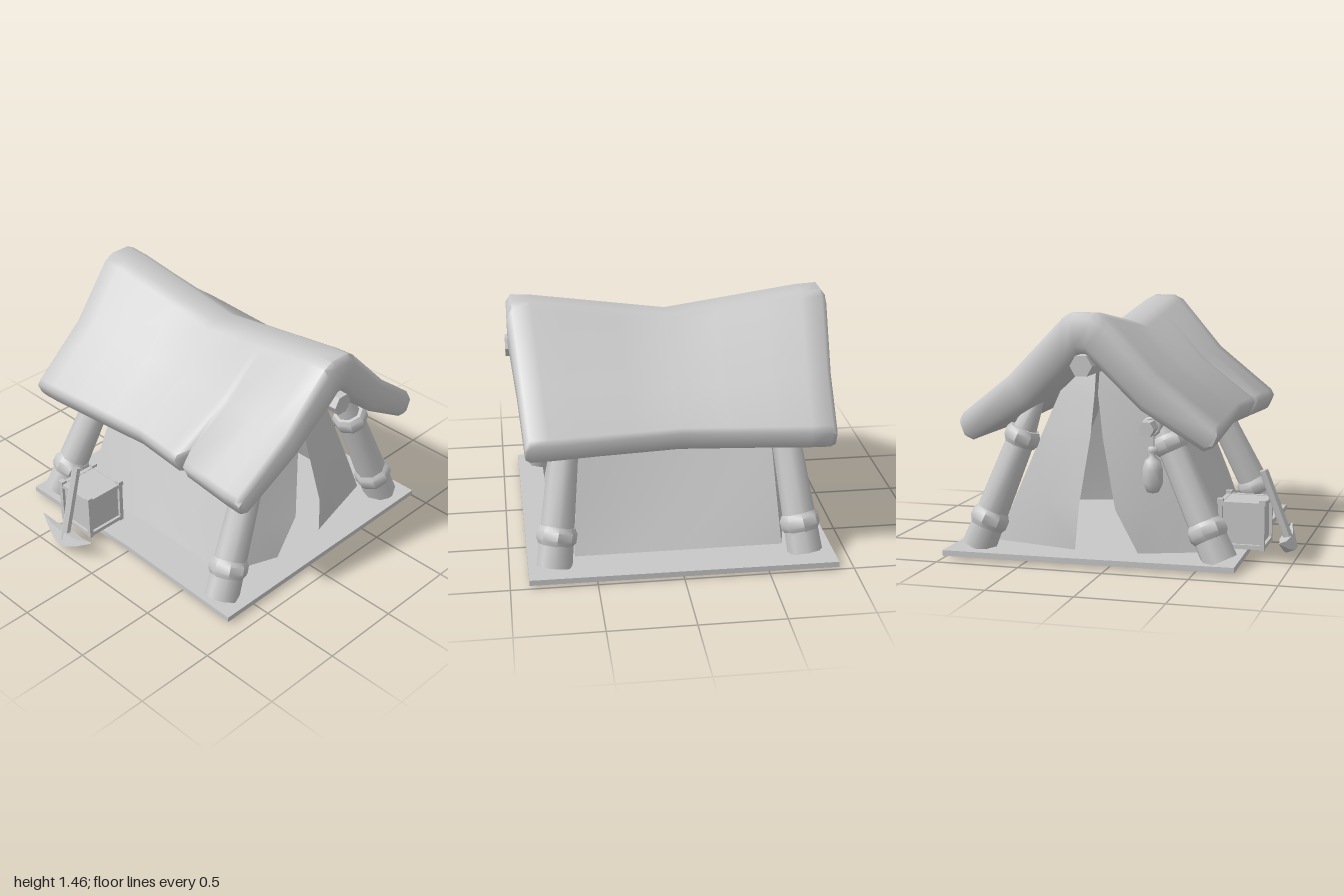
import * as THREE from 'three';
import { toCreasedNormals, mergeGeometries } from 'three/addons/utils/BufferGeometryUtils.js';

const V = (p) => new THREE.Vector3(...p);

// Skin over rows of points; closed rows become solid tubes with strip caps.
function loft(rows, closed = false, crease = 0.9) {
  const n = rows[0].length, m = rows.length, idx = [];
  const quad = (a, b, c, d) => idx.push(a, b, c, a, c, d);
  for (let i = 0; i < m - 1; i++) {
    for (let j = 0; j < (closed ? n : n - 1); j++) {
      const k = (j + 1) % n;
      quad(i * n + j, (i + 1) * n + j, (i + 1) * n + k, i * n + k);
    }
  }
  if (closed) {
    const e = (m - 1) * n;
    for (let j = 0; j < n / 2 - 1; j++) {
      quad(j, j + 1, n - 2 - j, n - 1 - j);
      quad(e + n - 1 - j, e + n - 2 - j, e + j + 1, e + j);
    }
  }
  const g = new THREE.BufferGeometry();
  g.setAttribute('position', new THREE.Float32BufferAttribute(rows.flat(2), 3));
  g.setIndex(idx);
  return toCreasedNormals(g, crease);
}

// Stand a y-up geometry at the middle of a-b, pointing from a to b.
function along(geo, a, b) {
  const d = V(b).sub(V(a)).normalize();
  geo.applyQuaternion(new THREE.Quaternion().setFromUnitVectors(V([0, 1, 0]), d));
  const mid = V(a).add(V(b)).multiplyScalar(0.5);
  return geo.translate(mid.x, mid.y, mid.z);
}
const limb = (a, b, ra, rb, sides = 8) =>
  along(toCreasedNormals(new THREE.CylinderGeometry(rb, ra, V(a).distanceTo(V(b)), sides), 0.9), a, b);

export function createModel() {
  const model = new THREE.Group();
  const grey = new THREE.MeshStandardMaterial({ color: 0xc8c8c8 });
  grey.name = 'plain grey';
  const cloth = grey;
  cloth.side = THREE.DoubleSide;
  const add = (name, geo, parent = model) => {
    const mesh = new THREE.Mesh(geo, grey);
    mesh.name = name;
    parent.add(mesh);
    return mesh;
  };
  const group = (name) => {
    const g = new THREE.Group();
    g.name = name;
    model.add(g);
    return g;
  };

  // Ground sheet
  const sheet = new THREE.Shape([[-0.87, -0.73], [0, -0.71], [0.9, -0.73], [0.89, 0.99], [-0.91, 1], [-0.9, 0.3]]
    .map(([x, y]) => new THREE.Vector2(x, y)));
  add('groundSheet', new THREE.ExtrudeGeometry(sheet, { depth: 0.033, bevelEnabled: false }).rotateX(-Math.PI / 2));

  // Thick sagging roof: chevron section of [z, y], front to back
  const outer = [[0.64, 0.79], [0.62, 0.825], [0.27, 1.1], [0, 1.41], [-0.06, 1.44],
    [-0.19, 1.44], [-0.24, 1.41], [-0.58, 1.07], [-0.87, 0.845], [-0.89, 0.81]];
  const inner = [[0.6, 0.7], [0.55, 0.68], [0.2, 0.9], [-0.04, 1.14], [-0.11, 1.21],
    [-0.16, 1.21], [-0.23, 1.13], [-0.47, 0.9], [-0.81, 0.69], [-0.85, 0.705]];
  const stations = [[-0.955, 0.35], [-0.925, 0], [-0.8, 0], [-0.6, 0], [-0.3, 0], [0, 0], [0.3, 0],
    [0.36, 0], [0.4, 0, 1], [0.44, 0], [0.65, 0], [0.8, 0], [0.915, 0], [0.945, 0.35]];
  const roof = stations.map(([x, pinch, notch]) => {
    const sag = Math.max(0, 1 - Math.abs(x) / 0.85);
    const place = (p, q, j) => {
      const z = p[0] + (q[0] - p[0]) * pinch / 2, y = p[1] + (q[1] - p[1]) * pinch / 2;
      const w = THREE.MathUtils.clamp((outer[j][1] - 0.8) / 0.62, 0, 1);
      const cut = notch && j < 2 ? 1 : 0;
      return [x * (1 - 0.07 * (1 - w)), y - 0.12 * sag * w + 0.02 * sag * (1 - w) + 0.025 * cut,
        z - Math.sign(z + 0.13) * 0.055 * sag * (1 - w) - 0.08 * cut];
    };
    return [...outer.map((p, j) => place(p, inner[j], j)),
      ...inner.map((p, j) => place(p, outer[j], j)).reverse()];
  });
  add('roof', loft(roof, true, 1.0));

  // Ridge pole and front crossbar
  add('ridgePole', limb([-0.965, 1.145, -0.125], [0.96, 1.145, -0.125], 0.066, 0.066, 6));
  add('crossbar', limb([-0.93, 0.8, 0.24], [0.8, 0.8, 0.24], 0.045, 0.045, 6));

  // Splayed legs with two lashed bands each
  const bandProfile = [[0.06, -0.055], [0.1, -0.055], [0.118, -0.025], [0.118, 0.025], [0.1, 0.055], [0.06, 0.055]]
    .map(([x, y]) => new THREE.Vector2(x, y));
  for (const side of [-1, 1]) {
    for (const [where, z0, z1] of [['front', 0.625, 0.3], ['back', -0.84, -0.585]]) {
      const leg = group(where + (side > 0 ? 'LeftLeg' : 'RightLeg'));
      const at = (t) => [side * (0.74 - 0.09 * t), 0.03 + 0.67 * t, z0 + (z1 - z0) * t];
      add('post', limb(at(0), at(1), 0.105, 0.085), leg);
      add('postTip', limb(at(1), at(1.32), 0.078, 0.045), leg);
      for (const [t, s, tilt] of [[0.25, 1, 0.07], [0.98, 0.93, -0.05]]) {
        const g = toCreasedNormals(new THREE.LatheGeometry(bandProfile, 8), 0.7);
        g.scale(s, s, s).rotateZ(side * tilt);
        add('band', along(g, at(t - 0.05), at(t + 0.05)), leg);
      }
    }
  }

  // Tent: two bulging walls and a pair of parted flaps at each end
  const ys = [1.17, 0.95, 0.7, 0.3, 0.045];
  const halfWidth = [0.56, 0.57, 0.58, 0.6, 0.615];
  const flapX = [0.58, 0.63, 0.67, 0.76, 0.74];
  const walls = {
    front: { edge: [-0.13, 0.12, 0.23, 0.39, 0.48], slit: [-0.13, -0.13, -0.09, 0.01, 0.14] },
    back: { edge: [-0.15, -0.38, -0.49, -0.66, -0.76], slit: [-0.15, -0.15, -0.165, -0.21, -0.24] },
  };
  for (const [name, { edge, slit }] of Object.entries(walls)) {
    const dir = name === 'front' ? 1 : -1;
    add(name + 'TentWall', loft(ys.map((y, i) => [-1, -0.5, 0, 0.5, 1].map((u) =>
      [u * halfWidth[i], y, edge[i] - dir * 0.04 * (1 - u * u) * Math.sin(i * Math.PI / 4)])), false, 1.2));
    for (const side of [-1, 1]) {
      add(name + 'Flap', loft(ys.map((y, i) => [0, 0.5, 1].map((u) =>
        [side * (halfWidth[i] + (flapX[i] - halfWidth[i]) * u), y, edge[i] + (slit[i] - edge[i]) * u])), false, 1.2));
    }
  }

  // Crate with a frame of thin bars and corner knobs
  const crate = group('crate');
  const bar = (w, h, d, x, y, z) => new THREE.BoxGeometry(w, h, d).translate(x, y, z);
  const [cx, cy, cz, h] = [-0.345, 0.185, 0.69, 0.125];
  add('crateBody', bar(0.24, 0.27, 0.24, cx, cy, cz), crate);
  const bars = [];
  for (const a of [-1, 1]) {
    for (const b of [-1, 1]) {
      bars.push(bar(0.026, 0.29, 0.026, cx + a * h, cy, cz + b * h),
        bar(0.25, 0.026, 0.026, cx, cy + a * h, cz + b * h),
        bar(0.026, 0.026, 0.25, cx + a * h, cy + b * h, cz),
        bar(0.036, 0.03, 0.036, cx + a * h, cy + 0.14, cz + b * h));
    }
  }
  add('crateFrame', mergeGeometries(bars), crate);

  // Pickaxe leaning on the crate
  const pick = group('pickaxe');
  add('handle', limb([-0.305, 0.05, 0.955], [-0.345, 0.495, 0.795], 0.03, 0.027, 6), pick);
  const head = [[-0.54, 0.105, 0.925, 0.06], [-0.43, 0.07, 0.94, 0.6], [-0.35, 0.06, 0.945, 1],
    [-0.27, 0.06, 0.945, 1], [-0.19, 0.08, 0.94, 0.6], [-0.08, 0.13, 0.925, 0.06]];
  add('pickHead', loft(head.map(([x, y, z, s]) =>
    [[0.045, -0.03], [0.015, 0.045], [-0.05, 0.03], [-0.01, -0.05]]
      .map(([dz, dy]) => [x, y + dy * s, z + dz * s])), true, 0.6), pick);

  // Pouch hanging from the crossbar
  const pouch = group('hangingPouch');
  const profile = [[0, 0.42], [0.035, 0.43], [0.058, 0.48], [0.06, 0.56], [0.045, 0.61], [0.016, 0.635],
    [0.032, 0.66], [0.026, 0.685], [0, 0.69]].map(([x, y]) => new THREE.Vector2(x, y));
  add('bag', new THREE.LatheGeometry(profile, 10).translate(-0.82, 0, 0.25), pouch);
  add('cord', limb([-0.82, 0.68, 0.25], [-0.82, 0.82, 0.25], 0.009, 0.009, 6), pouch);
  add('cordLoop', new THREE.TorusGeometry(0.046, 0.012, 6, 12).rotateY(Math.PI / 2).translate(-0.82, 0.8, 0.24), pouch);

  return model;
}
